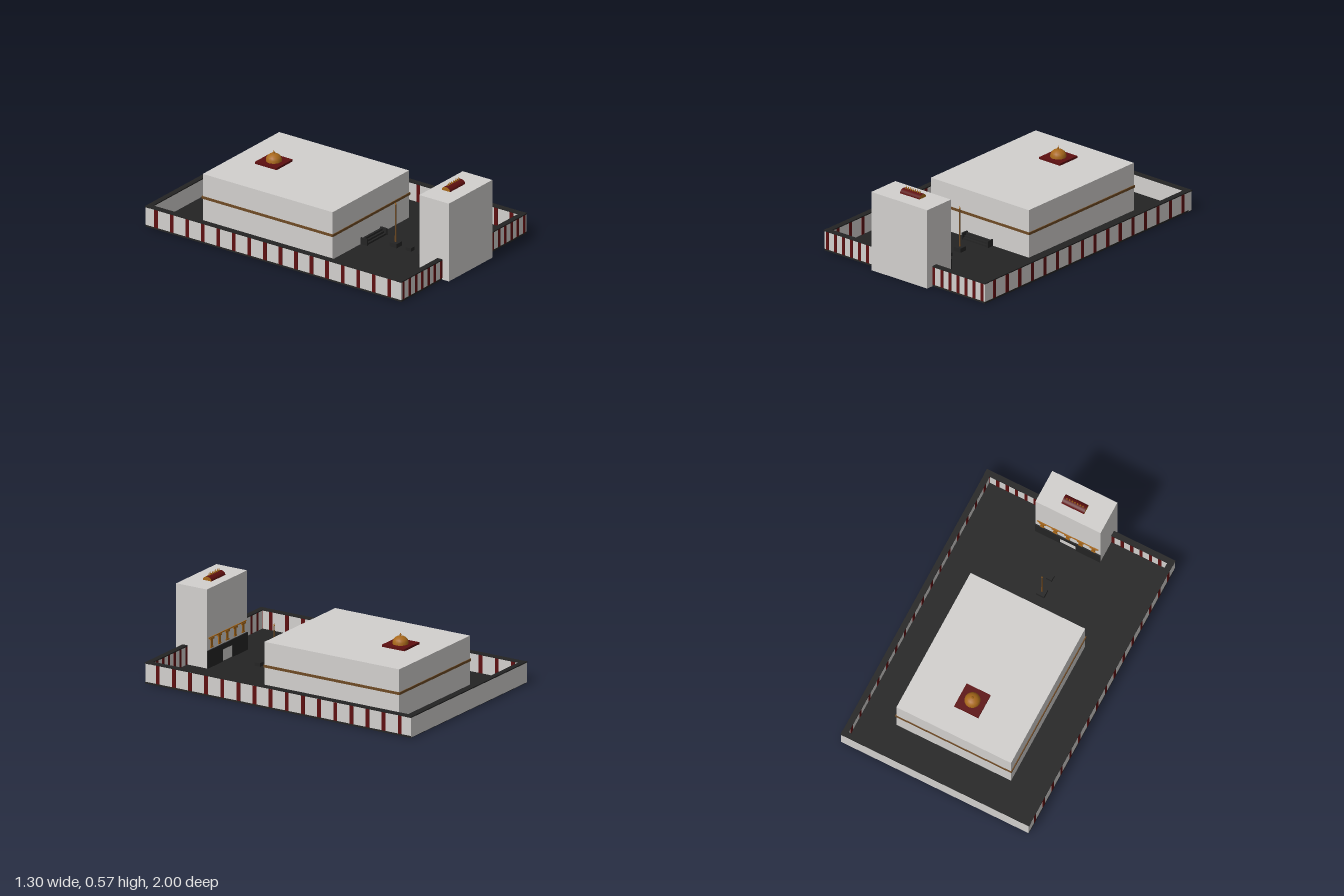
import * as THREE from 'three';

const mat = (name, color, side = THREE.FrontSide) => {
  const m = new THREE.MeshStandardMaterial({ color, side });
  m.name = name;
  return m;
};

export function createModel() {
  const stone = mat('pale stone', 0xd2d0ce);
  const red = mat('dark red', 0x5e0f10);
  const dark = mat('charcoal', 0x242424);
  const gold = mat('gold', 0xa8681a, THREE.DoubleSide);
  const bronze = mat('bronze trim', 0x6e4a24);
  const model = new THREE.Group();
  model.name = 'templeCompound';

  const add = (name, geo, material, x = 0, y = 0, z = 0, parent = model) => {
    const m = new THREE.Mesh(geo, material);
    m.name = name;
    m.position.set(x, y, z);
    parent.add(m);
    return m;
  };
  // Box given by its extents on each axis
  const box = (name, material, x0, x1, y0, y1, z0, z1, parent) =>
    add(name, new THREE.BoxGeometry(x1 - x0, y1 - y0, z1 - z0), material,
      (x0 + x1) / 2, (y0 + y1) / 2, (z0 + z1) / 2, parent);
  const lathe = (pts, n) => new THREE.LatheGeometry(pts.map(p => new THREE.Vector2(...p)), n);

  // Courtyard floor
  box('courtyardFloor', dark, -0.648, 0.648, 0, 0.012, -0.998, 0.948);

  // Boundary wall: side runs with stripes on both faces
  const walls = new THREE.Group();
  walls.name = 'boundaryWall';
  model.add(walls);
  const top = 0.13, t = 0.03;
  for (const s of [-1, 1]) {
    const span = (a, b) => [Math.min(s * a, s * b), Math.max(s * a, s * b)];
    box('sideWall', stone, ...span(0.648 - t, 0.648), 0.003, top, -0.97, 0.92, walls);
    box('sidePlinth', dark, ...span(0.64, 0.65), 0.001, 0.012, -0.965, 0.92, walls);
    box('sideCoping', dark, ...span(0.613, 0.65), top, 0.137, -0.97, 0.92, walls);
    for (let k = 0; k < 16; k++) {
      const z = 0.858 - 0.1183 * k;
      box('sideStripe', red, ...span(0.648 - t - 0.002, 0.65), 0.012, top - 0.001, z - 0.0135, z + 0.0135, walls);
    }
    // Front runs on either side of the gate
    box('frontWall', stone, ...span(0.226, 0.648), 0.003, top, 0.92, 0.948, walls);
    box('frontPlinth', dark, ...span(0.226, 0.649), 0.001, 0.012, 0.94, 0.95, walls);
    box('frontCoping', dark, ...span(0.226, 0.652), top, 0.137, 0.915, 0.952, walls);
    for (let k = 0; k < 7; k++) {
      const x = 0.235 + 0.065 * k;
      box('frontStripe', red, ...span(x - 0.011, x + 0.011), 0.012, top - 0.001, 0.918, 0.95, walls);
    }
  }
  box('backWall', stone, -0.648, 0.648, 0.003, top, -0.999, -0.97, walls);
  box('backCoping', dark, -0.652, 0.652, top, 0.137, -1, -0.965, walls);

  // Main hall with its trim band
  const hall = new THREE.Group();
  hall.name = 'mainHall';
  model.add(hall);
  box('hallBody', stone, -0.396, 0.396, 0.005, 0.328, -0.747, 0.241, hall);
  box('hallBand', bronze, -0.402, 0.402, 0.164, 0.18, -0.752, 0.246, hall);

  // Roof dome on a red plate
  box('domePlate', red, -0.083, 0.083, 0.328, 0.342, -0.58, -0.415, hall);
  add('dome', lathe([[0.05, 0], [0.049, 0.015], [0.043, 0.029], [0.03, 0.041], [0.014, 0.047], [0, 0.048]], 16),
    gold, 0, 0.342, -0.497, hall);
  add('domeFinial', lathe([[0.008, 0], [0.004, 0.006], [0.007, 0.011], [0.003, 0.017], [0, 0.027]], 8),
    gold, 0, 0.387, -0.497, hall);

  // Entrance steps with cheek walls
  for (let i = 0; i < 3; i++)
    box('step', dark, -0.1, 0.1, 0.012, 0.024 + 0.012 * i, 0.241, 0.285 - 0.014 * i, hall);
  for (const s of [-1, 1])
    box('stepCheek', dark, s * 0.102 - 0.005, s * 0.102 + 0.005, 0.012, 0.056, 0.241, 0.29, hall);

  // Flag mast and offering block
  box('mastBase', dark, -0.028, 0.028, 0.012, 0.04, 0.402, 0.458);
  add('mast', new THREE.CylinderGeometry(0.004, 0.006, 0.25, 8), bronze, 0, 0.165, 0.43);
  add('mastTip', new THREE.ConeGeometry(0.005, 0.018, 8), gold, 0, 0.298, 0.43);
  box('offeringBlock', dark, -0.02, 0.02, 0.012, 0.035, 0.52, 0.56);

  // Gate tower
  const gate = new THREE.Group();
  gate.name = 'gateTower';
  model.add(gate);
  box('gateBody', stone, -0.225, 0.225, 0.001, 0.522, 0.775, 1, gate);

  // Barrel vault crown: red shell, gold end caps, row of finials
  const vault = new THREE.Group();
  vault.name = 'vaultCrown';
  vault.position.set(0, 0.522, 0.87);
  gate.add(vault);
  const shell = new THREE.CylinderGeometry(0.032, 0.032, 0.156, 16, 1, false, 0, Math.PI);
  shell.rotateZ(Math.PI / 2);
  shell.scale(1, 0.8, 1);
  add('vaultShell', shell, [red, gold, gold], 0, 0, 0, vault);
  for (let i = -3; i <= 3; i++)
    add('vaultFinial', lathe([[0.003, 0], [0.006, 0.006], [0.003, 0.014], [0, 0.025]], 8),
      gold, i * 0.0185, 0.023, 0, vault);

  // Inner face of the gate: dark base with doorway, gold colonnade and beam
  for (const s of [-1, 1])
    box('gateBaseSide', dark, s * 0.14 - 0.085, s * 0.14 + 0.085, 0.012, 0.125, 0.767, 0.775, gate);
  box('gateBaseLintel', dark, -0.055, 0.055, 0.09, 0.125, 0.767, 0.775, gate);
  box('colonnadeBeam', gold, -0.21, 0.21, 0.2, 0.206, 0.769, 0.775, gate);
  for (let i = -2; i <= 2; i++) {
    const x = i * 0.088;
    box('column', gold, x - 0.011, x + 0.011, 0.14, 0.19, 0.77, 0.775, gate);
    box('columnCapital', gold, x - 0.022, x + 0.022, 0.188, 0.2, 0.767, 0.775, gate);
    box('columnFoot', gold, x - 0.015, x + 0.015, 0.136, 0.144, 0.768, 0.775, gate);
  }
  return model;
}
